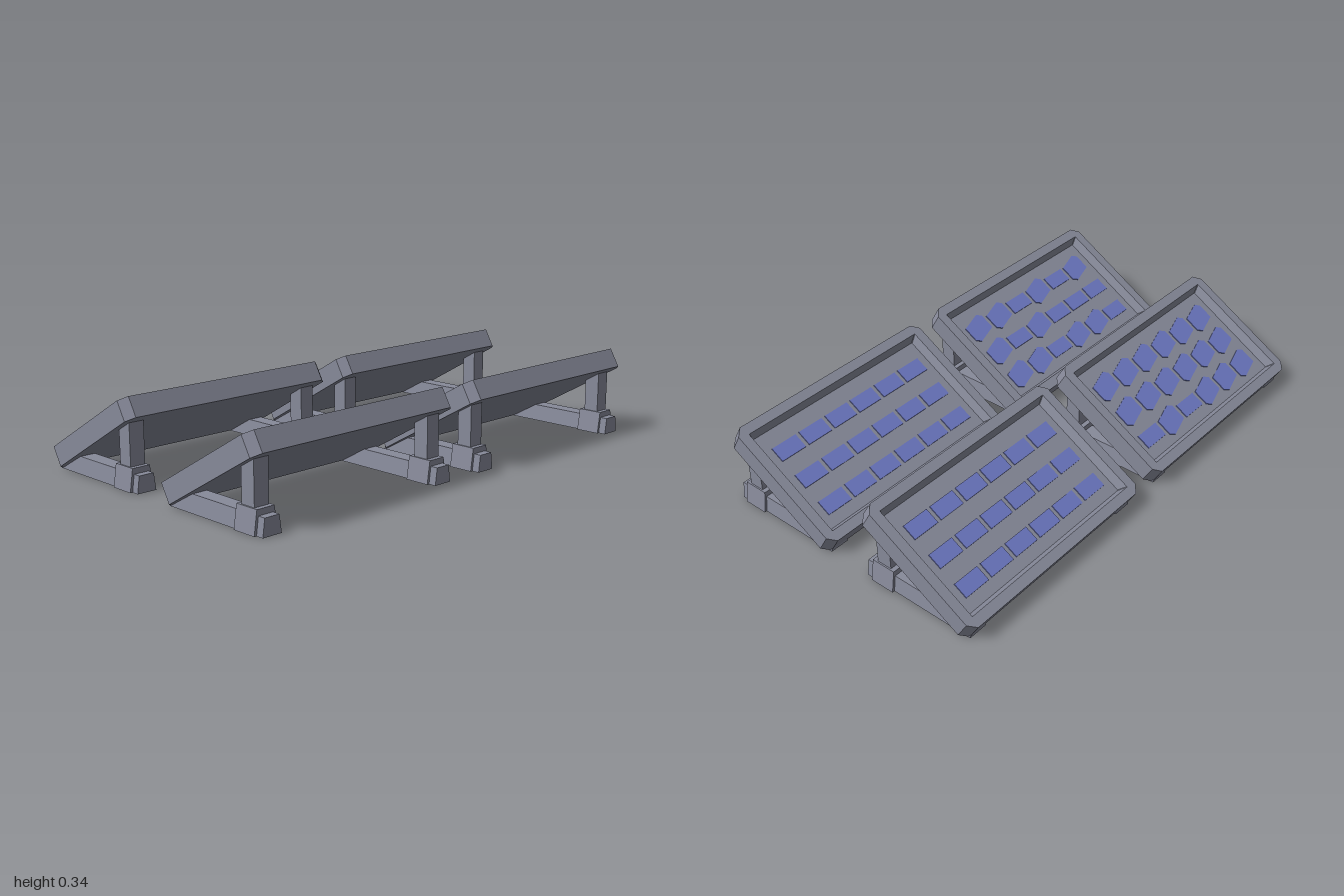
import * as THREE from 'three';

const frameMat = new THREE.MeshStandardMaterial({ name: 'frame grey', color: 0x878a9a });
const cellMat = new THREE.MeshStandardMaterial({ name: 'cell blue', color: 0x6c77c2 });

const W = 0.945, L = 0.549, T = 0.08, RECESS = 0.035;

// Rectangle with cut corners at height y
function ring(w, l, cut, y) {
  const x = w / 2, z = l / 2;
  return [[x, z - cut], [x, cut - z], [x - cut, -z], [cut - x, -z],
    [-x, cut - z], [-x, z - cut], [cut - x, z], [x - cut, z]].map(([a, b]) => [a, y, b]);
}

// Tray: underside, outer wall, rim, sloped inner wall and floor
function trayGeometry() {
  const rings = [
    ring(W, L, 0.03, -T), ring(W, L, 0.03, 0),
    ring(W - 0.08, L - 0.08, 0.002, 0), ring(W - 0.11, L - 0.11, 0.002, -RECESS),
  ];
  const pos = [];
  const tri = (a, b, c) => pos.push(...a, ...b, ...c);
  for (let r = 0; r < 3; r++) {
    for (let i = 0; i < 8; i++) {
      const j = (i + 1) % 8, lo = rings[r], hi = rings[r + 1];
      tri(lo[i], lo[j], hi[j]);
      tri(lo[i], hi[j], hi[i]);
    }
  }
  for (let i = 1; i < 7; i++) {
    tri(rings[0][0], rings[0][i + 1], rings[0][i]);
    tri(rings[3][0], rings[3][i], rings[3][i + 1]);
  }
  const g = new THREE.BufferGeometry();
  g.setAttribute('position', new THREE.Float32BufferAttribute(pos, 3));
  g.computeVertexNormals();
  return g;
}

// Thin plate lying flat from an outline in x and z
function plate(points) {
  const shape = new THREE.Shape(points.map(([x, z]) => new THREE.Vector2(x, -z)));
  const g = new THREE.ExtrudeGeometry(shape, { depth: 0.004, bevelEnabled: false });
  return g.rotateX(-Math.PI / 2);
}

// Bar along z with a trapezoid section
function taperedBar(bottom, top, height, z0, z1) {
  const shape = new THREE.Shape([[-bottom, 0], [bottom, 0], [top, height], [-top, height]]
    .map(([x, y]) => new THREE.Vector2(x, y)));
  return new THREE.ExtrudeGeometry(shape, { depth: z1 - z0, bevelEnabled: false }).translate(0, 0, z0);
}

const trayGeo = trayGeometry();
const plainCell = plate([[-0.057, 0.031], [0.057, 0.031], [0.057, -0.031], [-0.057, -0.031]]);
const skewCell = plate([[-0.057, 0.04], [-0.035, 0.055], [0.057, 0.027],
  [0.057, -0.04], [0.035, -0.055], [-0.057, -0.027]]);
const railGeo = taperedBar(0.04, 0.031, 0.065, 0.11, 0.59);
const footGeo = taperedBar(0.05, 0.037, 0.087, 0.46, 0.56);
const postGeo = new THREE.BoxGeometry(0.062, 0.24, 0.062).translate(0, 0.13, 0.51);

function add(parent, name, geo, mat, x = 0, y = 0, z = 0) {
  const m = new THREE.Mesh(geo, mat);
  m.name = name;
  m.position.set(x, y, z);
  parent.add(m);
  return m;
}

// One tilted panel on two legs; the pattern marks skewed cells with 1
function panelUnit(name, pattern) {
  const unit = new THREE.Group();
  unit.name = name;

  const panel = new THREE.Group();
  panel.name = 'panel';
  panel.position.set(0, 0.2075, 0.3125);
  panel.rotation.x = -Math.PI / 6;
  add(panel, 'tray', trayGeo, frameMat);
  pattern.forEach((row, r) => [...row].forEach((c, i) => {
    add(panel, 'cell', c === '1' ? skewCell : plainCell, cellMat,
      (i - 2.5) * 0.1305, -RECESS, (r - 1) * 0.131 - 0.01);
  }));
  unit.add(panel);

  for (const side of [-1, 1]) {
    const leg = new THREE.Group();
    leg.name = side < 0 ? 'rightLeg' : 'leftLeg';
    leg.position.x = side * 0.407;
    add(leg, 'groundRail', railGeo, frameMat);
    add(leg, 'foot', footGeo, frameMat);
    add(leg, 'post', postGeo, frameMat);
    unit.add(leg);
  }
  return unit;
}

export function createModel() {
  const model = new THREE.Group();
  model.name = 'solarPanels';
  const plain = ['000000', '000000', '000000'];
  const units = [
    ['frontRightUnit', -1, 0, ['011011', '000101', '101011']],
    ['backRightUnit', -1, -0.664, ['111010', '111111', '111111']],
    ['frontLeftUnit', 1, 0, plain],
    ['backLeftUnit', 1, -0.664, plain],
  ];
  for (const [name, side, z, pattern] of units) {
    const unit = panelUnit(name, pattern);
    unit.position.set(side * 0.5275, 0, z);
    model.add(unit);
  }
  return model;
}
